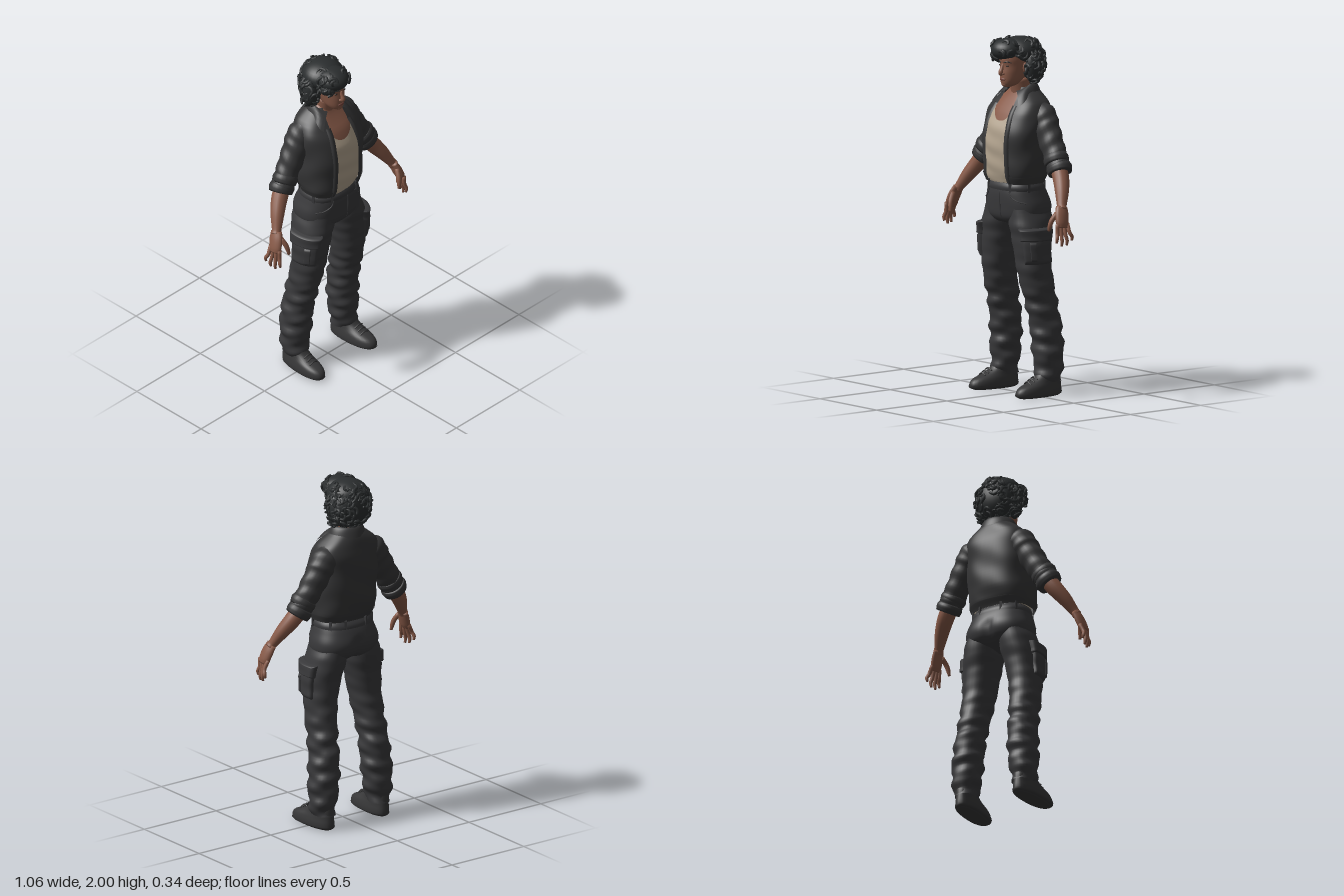
import * as THREE from 'three';
import { mergeGeometries, mergeVertices } from 'three/addons/utils/BufferGeometryUtils.js';

const V = (x, y, z) => new THREE.Vector3(x, y, z);
const mat = (name, color, side = THREE.FrontSide) => {
  const m = new THREE.MeshStandardMaterial({ color, side });
  m.name = name;
  return m;
};

// Smooth lookup in a table of rows [key, ...values]
function prof(table, k) {
  const n = table.length - 1;
  let i = 0;
  while (i < n - 1 && k > table[i + 1][0]) i++;
  const a = table[Math.max(i - 1, 0)], b = table[i], c = table[i + 1], d = table[Math.min(i + 2, n)];
  const t = Math.min(1, Math.max(0, (k - b[0]) / (c[0] - b[0])));
  return b.map((_, j) => b[j] + 0.5 * t * (c[j] - a[j] + t * (2 * a[j] - 5 * b[j] + 4 * c[j] - d[j] + t * (3 * (b[j] - c[j]) + d[j] - a[j]))));
}

// Grid surface from f(u, v); u runs around, v runs up
function surf(f, nu, nv) {
  const pos = [], idx = [];
  for (let j = 0; j <= nv; j++) for (let i = 0; i <= nu; i++) pos.push(...f(i / nu, j / nv).toArray());
  for (let j = 0; j < nv; j++) for (let i = 0; i < nu; i++) {
    const a = j * (nu + 1) + i, b = a + nu + 1;
    idx.push(a, a + 1, b + 1, a, b + 1, b);
  }
  let g = new THREE.BufferGeometry();
  g.setAttribute('position', new THREE.Float32BufferAttribute(pos, 3));
  g.setIndex(idx);
  g = mergeVertices(g, 1e-5);
  g.computeVertexNormals();
  return g;
}

// Point on a rounded outline, angle from +z towards +x
function outline(y, a, cx, zb, zf, rx, n, off = 0) {
  const p = (c) => Math.sign(c) * Math.abs(c) ** (2 / n);
  return V(cx + (rx + off) * p(Math.sin(a)), y, (zb + zf) / 2 + ((zf - zb) / 2 + off) * p(Math.cos(a)));
}

// Round limb through points [x, y, z, radius], closed at both ends
function limb(pts, nu = 14, nv = 24, flat = 1, bump = () => 0) {
  const curve = new THREE.CatmullRomCurve3(pts.map((p) => V(p[0], p[1], p[2])));
  const rows = pts.map((p, i) => [i / (pts.length - 1), p[3]]);
  return surf((u, v) => {
    const w = Math.min(1, Math.max(0, (v * nv - 1) / (nv - 2)));
    const t = curve.getTangent(w), b = t.clone().cross(V(0, 0, 1)).normalize(), n = t.clone().cross(b);
    const r = v === 0 || v === 1 ? 0 : prof(rows, w)[1] + bump(w, u * Math.PI * 2);
    const a = u === 1 ? 0 : u * Math.PI * 2;
    return curve.getPoint(w).addScaledVector(b, Math.cos(a) * r).addScaledVector(n, Math.sin(a) * r * flat);
  }, nu, nv);
}

function mirror(g) {
  const m = g.clone().scale(-1, 1, 1), ix = m.index.array;
  for (let i = 0; i < ix.length; i += 3) [ix[i], ix[i + 1]] = [ix[i + 1], ix[i]];
  m.computeVertexNormals();
  return m;
}

const ball = (x, y, z, rx, ry, rz, n = 20) => new THREE.SphereGeometry(1, n, Math.round(n * 0.7)).scale(rx, ry, rz).translate(x, y, z);

// Profiles: y, back z, front z, half width
const TORSO = [[1.16, -0.105, 0.125, 0.16], [1.19, -0.11, 0.14, 0.17], [1.23, -0.13, 0.155, 0.185], [1.3, -0.148, 0.162, 0.192],
  [1.42, -0.155, 0.165, 0.195], [1.5, -0.157, 0.152, 0.2], [1.58, -0.155, 0.118, 0.2], [1.64, -0.143, 0.075, 0.175],
  [1.68, -0.13, 0.05, 0.125], [1.72, -0.11, 0.035, 0.078]];
const PELVIS = [[0.945, -0.02, 0.02, 0.01], [0.965, -0.1, 0.1, 0.13], [1, -0.145, 0.13, 0.19], [1.06, -0.16, 0.138, 0.2],
  [1.13, -0.14, 0.14, 0.18], [1.2, -0.11, 0.13, 0.16]];
// Leg profile: y, centre x, back z, front z, half width
const LEG = [[0.08, 0.192, -0.14, 0, 0.058], [0.12, 0.192, -0.147, 0.008, 0.068], [0.2, 0.188, -0.152, 0.015, 0.08],
  [0.3, 0.183, -0.155, 0.022, 0.084], [0.4, 0.176, -0.15, 0.032, 0.08], [0.5, 0.17, -0.132, 0.052, 0.078],
  [0.6, 0.163, -0.115, 0.078, 0.081], [0.7, 0.154, -0.1, 0.1, 0.087], [0.8, 0.143, -0.1, 0.11, 0.094],
  [0.9, 0.13, -0.115, 0.118, 0.103], [0.96, 0.118, -0.13, 0.125, 0.104], [1.06, 0.1, -0.13, 0.12, 0.09]];
const SHOE = [[0, -0.135, 0.14, 0.045], [0.012, -0.148, 0.162, 0.06], [0.035, -0.15, 0.163, 0.062], [0.06, -0.148, 0.14, 0.058],
  [0.085, -0.145, 0.07, 0.052], [0.11, -0.142, 0.025, 0.05], [0.15, -0.135, 0, 0.05]];
const HEAD = [[1.72, 0.04, 0.085, 0.012], [1.733, 0.0, 0.101, 0.038], [1.76, -0.04, 0.107, 0.055], [1.8, -0.08, 0.108, 0.065],
  [1.84, -0.1, 0.104, 0.071], [1.88, -0.1, 0.108, 0.073], [1.92, -0.09, 0.095, 0.066], [1.96, -0.04, 0.05, 0.03]];

const torso = (y, a, off) => { const [, b, f, r] = prof(TORSO, y); return outline(y, a, 0, b, f, r, 2.5, off); };
const leg = (y, a, off = 0) => {
  const [, cx, b, f, r] = prof(LEG, y), low = THREE.MathUtils.smoothstep(0.75 - y, 0, 0.25);
  const fold = (Math.sin(y * 52 + 2.2 * Math.sin(a + 1)) + 0.6 * Math.sin(y * 83 - 2 * Math.cos(a))) * (0.0015 + 0.004 * low);
  return outline(y, a, cx, b, f, r, 2.2, off + fold);
};
const TAU = Math.PI * 2;

export function createModel() {
  const root = new THREE.Group();
  root.name = 'standingFigure';
  const jacketM = mat('jacketCharcoal', 0x363637, THREE.DoubleSide), pantsM = mat('trouserCharcoal', 0x39393b, THREE.DoubleSide);
  const shoeM = mat('shoeGrey', 0x373738), hairM = mat('hairBlack', 0x2b2e2f), skinM = mat('skinBrown', 0x885a48);
  const shirtM = mat('shirtBeige', 0xb3a48f, THREE.DoubleSide), lipM = mat('lipBrown', 0x74443b), eyeM = mat('eyeDark', 0x2a211e);
  const add = (name, g, m) => { const o = new THREE.Mesh(g, m); o.name = name; root.add(o); };
  const pair = (name, g, m) => { add('left' + name, g, m); add('right' + name, mirror(g), m); };

  // Chest, neck and shirt with a scooped neckline
  add('chest', surf((u, v) => torso(1.45 + 0.27 * v, (u % 1) * TAU, -0.022), 48, 14), skinM);
  add('neck', limb([[0, 1.6, -0.035, 0.062], [0, 1.68, -0.03, 0.057], [0, 1.77, -0.01, 0.055]], 20, 12), skinM);
  add('shirt', surf((u, v) => {
    const a = (u % 1) * TAU, top = 1.535 + 0.09 * Math.min(1, (Math.sin(a) / 0.42) ** 2), y = 1.165 + v * (top - 1.165);
    return torso(y, a, -0.011 + 0.0025 * Math.sin(y * 60 + 3 * a));
  }, 72, 30), shirtM);

  // Open jacket: body, hem band and plackets
  const gapAngle = (y) => {
    const half = y < 1.5 ? 0.085 : 0.085 - 0.12 * (y - 1.5);
    return Math.asin(Math.min(0.95, (half / prof(TORSO, y)[3]) ** 1.25));
  };
  const jacketPart = (y0, y1, off, fold) => surf((u, v) => {
    const y = y0 + (y1 - y0) * v, g = gapAngle(y), a = g + u * (TAU - 2 * g);
    return torso(y, a, off + fold * Math.sin(y * 34 + 2.5 * Math.sin(2 * a)));
  }, 64, 32);
  add('jacketBody', jacketPart(1.2, 1.72, 0, 0.003), jacketM);
  add('jacketHem', jacketPart(1.19, 1.232, 0.006, 0), jacketM);
  pair('Placket', surf((u, v) => {
    const y = 1.195 + 0.43 * v, g = gapAngle(y);
    return torso(y, g - 0.03 + 0.17 * u, 0.003 + 0.007 * Math.sin(Math.PI * u));
  }, 6, 24), jacketM);

  // Folded collar with pointed front tips
  add('collar', surf((u, v) => {
    const a = 0.5 + u * (TAU - 1), t = Math.max(0, Math.cos(a)), s = Math.sin(a), c = Math.cos(a), t3 = t ** 3;
    const inner = V(0.08 * s, 1.738 - 0.045 * t, -0.03 + 0.075 * c);
    const outer = V((0.112 + 0.2 * t3) * s, 1.68 - 0.085 * t3, -0.035 + (0.1 + 0.055 * t3) * c);
    return inner.lerp(outer, 1 - v).add(V(0, 0.014 * Math.sin(Math.PI * v), 0));
  }, 48, 6), jacketM);

  // Sleeves with rolled cuffs
  pair('Sleeve', limb([[0.11, 1.595, -0.055, 0.065], [0.16, 1.56, -0.055, 0.08], [0.2, 1.5, -0.05, 0.077], [0.255, 1.41, -0.045, 0.071],
    [0.305, 1.33, -0.038, 0.068], [0.335, 1.28, -0.03, 0.069]], 24, 40, 0.92, (w, a) => 0.003 * Math.sin(w * 38 + 2 * Math.sin(a))), jacketM);
  for (const [i, x, y] of [[1, 0.287, 1.36], [2, 0.315, 1.312]])
    pair('CuffRoll' + i, limb([[x, y, -0.04, 0.068], [x + 0.012, y - 0.019, -0.036, 0.077], [x + 0.027, y - 0.044, -0.031, 0.071]], 24, 8, 0.9), jacketM);

  // Forearms and hands
  pair('Forearm', limb([[0.32, 1.3, -0.035, 0.047], [0.365, 1.24, -0.018, 0.046], [0.41, 1.175, 0.012, 0.039], [0.45, 1.105, 0.045, 0.027],
    [0.462, 1.085, 0.053, 0.028]], 16, 24), skinM);
  pair('Palm', limb([[0.455, 1.1, 0.05, 0.02], [0.472, 1.06, 0.062, 0.023], [0.488, 1.015, 0.072, 0.022], [0.496, 0.99, 0.075, 0.017]], 16, 14, 1.85), skinM);
  const fingers = [limb([[0.458, 1.07, 0.085, 0.014], [0.445, 1.03, 0.112, 0.014], [0.438, 0.995, 0.122, 0.012], [0.434, 0.97, 0.125, 0.008]], 10, 12)];
  [0.09, 0.11, 0.105, 0.08].forEach((len, i) => {
    const z = 0.108 - i * 0.023, k = (i - 1.5) * 0.007;
    fingers.push(limb([[0.49, 1.012, z, 0.012], [0.503 + k, 1 - len * 0.45, z + 0.002, 0.011], [0.51 + k, 1 - len * 0.75, z - k, 0.01],
      [0.506 + k, 1 - len, z - k, 0.007]], 10, 12));
  });
  pair('Fingers', mergeGeometries(fingers), skinM);

  // Trousers: hips, waistband, legs, cargo pockets
  const hip = (y, a, off = 0) => {
    const [, b, f, r] = prof(PELVIS, y), p = outline(y, a, 0, b, f, r, 2.4, off);
    if (p.z < 0) p.z += 0.018 * Math.exp(-((p.x / 0.03) ** 2)) * THREE.MathUtils.smoothstep(1.12 - y, 0, 0.06);
    return p;
  };
  add('trouserHips', surf((u, v) => hip(0.945 + 0.25 * v, (u % 1) * TAU), 64, 22), pantsM);
  add('waistband', surf((u, v) => hip(1.15 + 0.042 * v, (u % 1) * TAU, 0.006 * Math.sin(Math.PI * v)), 48, 6), pantsM);
  const loops = [0.5, 1.3, 2.2, 2.8].flatMap((a) => [a, -a]).map((a) => {
    const p = hip(1.172, a, 0.005);
    return new THREE.BoxGeometry(0.014, 0.055, 0.01).rotateY(Math.atan2(p.x, p.z)).translate(p.x, p.y, p.z);
  });
  add('beltLoops', mergeGeometries(loops), pantsM);
  add('flySeam', limb([1.15, 1.1, 1.05, 1].map((y) => { const p = hip(y, 0.06); return [p.x, y, p.z, 0.004]; }), 6, 10), pantsM);
  pair('HipPocketSeam', limb([[1.15, 0.42], [1.12, 0.5], [1.095, 0.75], [1.085, 1.05]].map(([y, a]) => {
    const p = hip(y, a);
    return [p.x, y, p.z, 0.004];
  }), 6, 14), pantsM);
  pair('TrouserLeg', surf((u, v) => leg(0.08 + 0.97 * v, (u % 1) * TAU), 32, 80), pantsM);
  const patch = (y0, y1, a0, a1, off) => surf((u, v) => {
    const edge = Math.min(1, 9 * Math.min(u, 1 - u, v, 1 - v));
    return leg(y0 + (y1 - y0) * v, a0 + (a1 - a0) * u, -0.004 + off * Math.sqrt(edge));
  }, 24, 24);
  pair('CargoPocket', patch(0.745, 0.925, 0.4, 1.95, 0.022), pantsM);
  pair('PocketFlap', patch(0.875, 0.95, 0.32, 2.02, 0.033), pantsM);
  pair('PocketPleat', patch(0.76, 0.88, 0.85, 1.2, 0.03), pantsM);

  // Shoes with soles and laces
  const shoe = (y, a, off) => { const [, b, f, r] = prof(SHOE, y), p = outline(y, a, 0.197, b, f, r, 2.3, off); p.x += 0.05 * p.z; return p; };
  pair('Shoe', surf((u, v) => shoe(0.15 * v, (u % 1) * TAU, 0), 32, 20), shoeM);
  pair('Sole', surf((u, v) => {
    const p = shoe(0.001 + 0.024 * v, (u % 1) * TAU, 0.003);
    return v === 0 ? V(0.2, 0, 0.01) : p;
  }, 32, 6), shoeM);
  pair('Laces', mergeGeometries([0, 1, 2].map((i) => limb([[0.172, 0.078 + i * 0.012, 0.085 - i * 0.022, 0.004],
    [0.2, 0.09 + i * 0.012, 0.088 - i * 0.022, 0.005], [0.23, 0.078 + i * 0.012, 0.085 - i * 0.022, 0.004]], 6, 8))), shoeM);

  // Head and face
  add('head', surf((u, v) => {
    const y = 1.72 + 0.24 * v, [, b, f, r] = prof(HEAD, y);
    return outline(y, (u % 1) * TAU, 0, b, f, r, 2.15);
  }, 40, 30), skinM);
  add('chin', ball(0, 1.738, 0.08, 0.028, 0.018, 0.024), skinM);
  add('nose', limb([[0, 1.852, 0.1, 0.008], [0, 1.825, 0.11, 0.01], [0, 1.803, 0.117, 0.014], [0, 1.793, 0.108, 0.011]], 12, 12), skinM);
  pair('Nostril', ball(0.011, 1.798, 0.107, 0.009, 0.008, 0.01, 10), skinM);
  pair('Ear', ball(0.073, 1.83, 0.0, 0.01, 0.03, 0.018, 12), skinM);
  pair('Eye', ball(0.03, 1.842, 0.094, 0.012, 0.005, 0.007, 12), eyeM);
  pair('Brow', limb([[0.013, 1.86, 0.106, 0.003], [0.032, 1.866, 0.099, 0.004], [0.052, 1.86, 0.081, 0.002]], 6, 10), hairM);
  add('lips', ball(0, 1.766, 0.103, 0.023, 0.009, 0.009, 14), lipM);

  // Hair: soft masses covered in seeded curls
  const masses = [[-0.01, 1.915, -0.03, 0.118, 0.08, 0.115, 60], [-0.018, 1.927, 0.055, 0.092, 0.062, 0.092, 22], [-0.005, 1.85, -0.075, 0.122, 0.12, 0.08, 120],
    [-0.105, 1.835, -0.035, 0.045, 0.095, 0.05, 48], [0.092, 1.835, -0.045, 0.038, 0.09, 0.05, 40], [-0.075, 1.885, 0.055, 0.035, 0.04, 0.05, 26]];
  let seed = 7;
  const rnd = () => (seed = (seed * 16807) % 2147483647) / 2147483647;
  const curls = [];
  for (const [x, y, z, rx, ry, rz, count] of masses) for (let i = 0; i < count; i++) {
    const h = 1.85 * rnd() - 0.93, a = rnd() * TAU, q = Math.sqrt(1 - h * h), size = 0.016 + 0.012 * rnd(), turn = rnd() * TAU;
    const n = V(q * Math.sin(a), h, q * Math.cos(a)), c = V(x + rx * n.x, y + ry * n.y, z + rz * n.z);
    if ((c.z > 0.03 && c.y < 1.87) || (Math.abs(c.x) < 0.07 && c.z > 0 && c.y < 1.9) || c.y > 1.975) continue;
    const side = V(n.z, 0, -n.x).normalize(), up = n.clone().cross(side);
    const pts = [0, 1, 2, 3].map((k) => c.clone().addScaledVector(side, size * Math.cos(turn + k * 1.15))
      .addScaledVector(up, size * Math.sin(turn + k * 1.15)).addScaledVector(n, 0.004 - 0.003 * k));
    curls.push(limb(pts.map((p, k) => [p.x, p.y, p.z, [0.006, 0.009, 0.008, 0.003][k]]), 6, 8));
  }
  add('hairMass', mergeGeometries(masses.map((m) => ball(...m.slice(0, 6), 28))), hairM);
  add('hairCurls', mergeGeometries(curls), hairM);
  return root;
}
